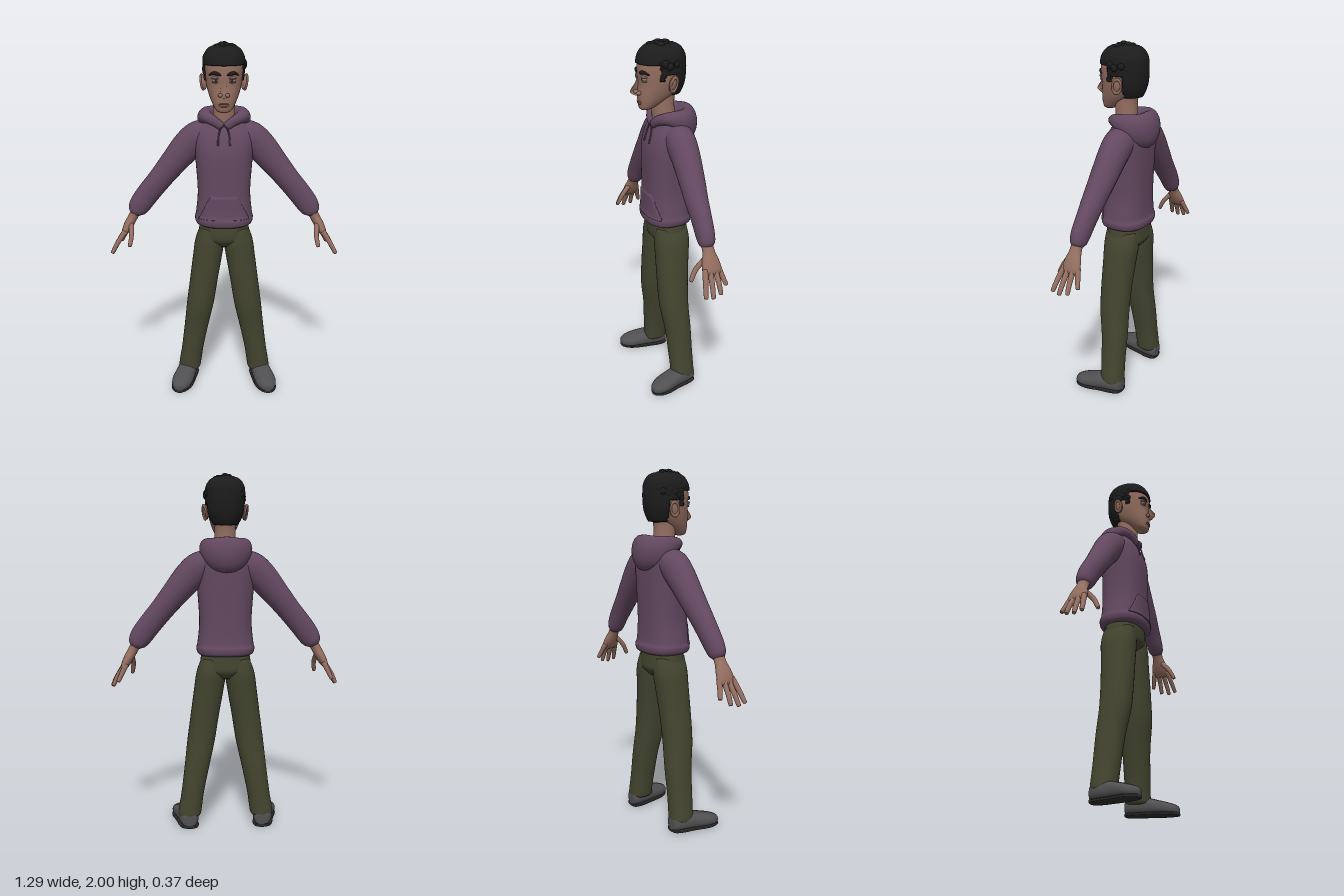
import * as THREE from 'three';
import { mergeGeometries } from 'three/addons/utils/BufferGeometryUtils.js';

const mat = (name, color) => Object.assign(new THREE.MeshStandardMaterial({ color }), { name });
const X = new THREE.Vector3(1, 0, 0), Y = new THREE.Vector3(0, 1, 0), Z = new THREE.Vector3(0, 0, 1);

// Smooth closed skin through rows of [x, y, z, radiusU, radiusV]; a fixed axis keeps all rings parallel
function sweep(rows, { axis = null, ref = Z, n = 28, per = 5, power = 2, move = null } = {}) {
  const P = new THREE.CatmullRomCurve3(rows.map(r => new THREE.Vector3(r[0], r[1], r[2])), false, 'catmullrom');
  const R = new THREE.CatmullRomCurve3(rows.map(r => new THREE.Vector3(r[3], r[4], 0)), false, 'catmullrom');
  const steps = (rows.length - 1) * per, pos = [], idx = [];
  const bend = c => Math.sign(c) * Math.abs(c) ** (2 / power);
  for (let i = 0; i <= steps; i++) {
    const p = P.getPoint(i / steps), r = R.getPoint(i / steps);
    const t = axis || P.getTangent(i / steps);
    const u = new THREE.Vector3().crossVectors(t, ref).normalize();
    const v = new THREE.Vector3().crossVectors(u, t).normalize();
    for (let j = 0; j < n; j++) {
      const a = j / n * Math.PI * 2;
      const q = p.clone().addScaledVector(u, bend(Math.cos(a)) * Math.max(r.x, 0.001))
        .addScaledVector(v, bend(Math.sin(a)) * Math.max(r.y, 0.001));
      if (move) move(q);
      pos.push(q.x, q.y, q.z);
      if (i < steps) {
        const k = (j + 1) % n, A = i * n + j, C = i * n + k;
        idx.push(A, A + n, C, A + n, C + n, C);
      }
    }
  }
  // end caps
  const c0 = pos.length / 3, last = steps * n;
  for (const e of [0, 1]) {
    const p = P.getPoint(e);
    if (move) move(p);
    pos.push(p.x, p.y, p.z);
  }
  for (let j = 0; j < n; j++) {
    const k = (j + 1) % n;
    idx.push(c0, j, k, c0 + 1, last + k, last + j);
  }
  const g = new THREE.BufferGeometry();
  g.setAttribute('position', new THREE.Float32BufferAttribute(pos, 3));
  g.setIndex(idx);
  g.computeVertexNormals();
  return g;
}

function ball(x, y, z, rx, ry, rz, w = 20, h = 14) {
  return new THREE.SphereGeometry(1, w, h).scale(rx, ry, rz).translate(x, y, z);
}

export function createModel() {
  const root = new THREE.Group();
  root.name = 'standingFigure';
  const skin = mat('skin', 0x946e60), hoodie = mat('plum cloth', 0x634860), pants = mat('olive cloth', 0x43452f);
  const hair = mat('black hair', 0x1c1c1c), shoe = mat('grey shoe', 0x505052), sole = mat('dark sole', 0x2b2b2b);
  const lip = mat('lip', 0x7d574c), white = mat('eye white', 0xa5a5a5), iris = mat('iris', 0x2f3438);
  const add = (name, geo, m) => {
    const mesh = new THREE.Mesh(geo, m);
    mesh.name = name;
    root.add(mesh);
    return mesh;
  };

  // Hoodie body
  const torso = [
    [0, 1.0, -.012, .14, .115], [0, 1.012, -.012, .157, .128], [0, 1.04, -.012, .164, .132], [0, 1.075, -.012, .157, .122],
    [0, 1.2, -.012, .147, .12], [0, 1.4, -.015, .16, .121], [0, 1.5, -.025, .165, .11],
    [0, 1.56, -.035, .14, .09], [0, 1.6, -.035, .09, .07]];
  add('hoodieBody', sweep(torso, { axis: Y, n: 48, per: 6, power: 2.5 }), hoodie);

  // Front pocket: a slightly larger shell sunk into the body outside the pocket outline
  const shell = torso.slice(2, 6).map(r => [r[0], r[1], r[2], r[3] + .006, r[4] + .006]);
  add('frontPocket', sweep(shell, {
    axis: Y, n: 120, per: 14, power: 2.5, move: q => {
      const half = THREE.MathUtils.mapLinear(q.y, 1.06, 1.18, .14, .08);
      if (q.z < 0 || q.y < 1.05 || q.y > 1.18 || Math.abs(q.x) > half) { q.x *= .92; q.z *= .92; }
    }
  }), hoodie);

  // Lowered hood around the neck, deepest at the back
  const hoodHalf = [
    [.008, 1.56, .066, .014, .022], [.05, 1.588, .055, .02, .026], [.095, 1.605, .01, .035, .035],
    [.1, 1.587, -.06, .045, .064], [.06, 1.565, -.112, .052, .088]];
  const hoodOther = hoodHalf.map(r => [-r[0], ...r.slice(1)]).reverse();
  add('hood', sweep([...hoodHalf, [0, 1.557, -.131, .054, .097], ...hoodOther], { ref: Y, n: 24, per: 7 }), hoodie);

  // Hips and neck
  add('hips', sweep([[0, 1.04, -.015, .13, .1], [0, .96, -.015, .143, .104], [0, .91, -.018, .138, .1], [0, .87, -.02, .08, .065]],
    { axis: Y.clone().negate(), n: 36, power: 2.3 }), pants);
  add('neck', sweep([[0, 1.52, -.02, .075, .07], [0, 1.6, -.002, .062, .062], [0, 1.7, .002, .058, .062], [0, 1.76, -.01, .06, .07]],
    { axis: Y }), skin);

  // Head
  add('head', sweep([
    [0, 1.645, .105, .02, .02], [0, 1.656, .097, .041, .038], [0, 1.69, .07, .062, .07], [0, 1.73, .04, .079, .1],
    [0, 1.78, .018, .094, .118], [0, 1.83, .017, .1, .122], [0, 1.88, .014, .102, .124], [0, 1.93, .01, .095, .11],
    [0, 1.965, .007, .07, .078], [0, 1.985, .005, .02, .025]], { axis: Y, n: 40, power: 2.25 }), skin);
  add('nose', sweep([
    [0, 1.828, .128, .011, .012], [0, 1.79, .134, .014, .022], [0, 1.756, .141, .019, .039], [0, 1.74, .142, .024, .041],
    [0, 1.727, .138, .018, .026], [0, 1.721, .135, .006, .01]], { axis: Y, n: 20 }), skin);
  for (const [name, y, r] of [['upperLip', 1.692, .0045], ['lowerLip', 1.683, .006]]) {
    add(name, sweep([[-.032, 1.687, .127, .001, .002], [-.017, y, .136, r, .006], [0, y, .1385, r, .007],
      [.017, y, .136, r, .006], [.032, 1.687, .127, .001, .002]], { n: 10 }), lip);
  }

  // Hair cap: sinks inside the head below the hairline
  const hairline = z => z > .06 ? 1.885 : z > .03 ? 1.805 : z > -.03 ? 1.835 : 1.72;
  add('hairCap', sweep([
    [0, 1.705, -.02, .05, .055], [0, 1.73, .008, .08, .103], [0, 1.78, .01, .102, .123], [0, 1.83, .012, .109, .131],
    [0, 1.88, .014, .111, .133], [0, 1.93, .012, .107, .123], [0, 1.97, .01, .078, .09], [0, 1.988, .008, .02, .025]],
  {
    axis: Y, n: 72, per: 8, power: 2.15, move: q => {
      if (q.y < hairline(q.z)) { q.x *= .78; q.z = .015 + (q.z - .015) * .78; }
    }
  }), hair);

  // Curls spread over the crown
  const curls = [], count = 150;
  for (let i = 0; i < count; i++) {
    const dy = 1 - i / count * 1.55, s = Math.sqrt(1 - dy * dy), a = i * 2.39996;
    const x = Math.cos(a) * s * .098, y = 1.87 + dy * .106, z = .014 + Math.sin(a) * s * .113;
    if (y < hairline(z) + .018) continue;
    const r = (dy > .05 ? .022 : .016) + .004 * Math.sin(i * 7.3);
    curls.push(ball(x, y, z, r, r, r, 12, 9));
  }
  add('curls', mergeGeometries(curls), hair);

  for (const s of [1, -1]) {
    const side = s > 0 ? 'left' : 'right';
    const flip = rows => rows.map(r => [r[0] * s, ...r.slice(1)]);

    // Face details
    add(side + 'Eye', ball(s * .041, 1.814, .122, .02, .011, .015), white);
    add(side + 'Iris', ball(s * .041, 1.814, .131, .009, .009, .008), iris);
    add(side + 'UpperLid', ball(s * .041, 1.823, .121, .024, .008, .018), skin);
    add(side + 'LowerLid', ball(s * .041, 1.803, .121, .022, .006, .015), skin);
    add(side + 'Brow', sweep(flip([[.016, 1.839, .134, .004, .005], [.03, 1.844, .137, .009, .007], [.052, 1.849, .13, .009, .007],
      [.076, 1.838, .11, .003, .005]]), { n: 12 }), hair);
    add(side + 'Nostril', ball(s * .019, 1.738, .144, .011, .011, .015), skin);
    const ear = new THREE.Group();
    ear.name = side + 'Ear';
    const lobe = new THREE.Mesh(ball(0, 0, 0, .012, .042, .026), skin);
    const rim = new THREE.Mesh(new THREE.TorusGeometry(.023, .006, 8, 24).rotateY(Math.PI / 2).scale(1, 1.6, 1), skin);
    lobe.name = 'earLobe';
    rim.name = 'earRim';
    rim.position.x = s * .009;
    ear.add(lobe, rim);
    ear.position.set(s * .107, 1.79, -.008);
    ear.rotation.set(-.12, s * .35, -s * .12);
    root.add(ear);

    // Sleeve with cuff, and drawstring
    add(side + 'Sleeve', sweep(flip([
      [.06, 1.53, -.035, .055, .07], [.135, 1.497, -.035, .083, .08], [.2, 1.44, -.035, .085, .076], [.29, 1.335, -.031, .073, .068],
      [.36, 1.25, -.026, .066, .06], [.43, 1.165, -.024, .064, .051], [.472, 1.108, -.022, .061, .047],
      [.496, 1.07, -.021, .05, .042], [.506, 1.05, -.021, .03, .03]]), { n: 32 }), hoodie);
    add(side + 'Drawstring', sweep(flip([[.016, 1.562, .075, .004, .004], [.026, 1.53, .08, .004, .004],
      [.031, 1.5, .087, .004, .004], [.032, 1.465, .098, .005, .005]]), { n: 8 }), hoodie);

    // Hand
    add(side + 'Palm', sweep(flip([[.49, 1.085, -.02, .03, .033], [.518, 1.032, -.02, .027, .032], [.543, .987, -.02, .027, .046],
      [.564, .948, -.02, .022, .053], [.576, .925, -.02, .012, .045]]), { n: 24 }), skin);
    const fingers = {
      Thumb: [[.53, 1.0, .0], [.522, .945, .05], [.53, .89, .079]],
      IndexFinger: [[.562, .955, .018], [.602, .895, .034], [.634, .838, .046]],
      MiddleFinger: [[.564, .95, -.008], [.607, .885, -.001], [.636, .829, .005]],
      RingFinger: [[.562, .95, -.036], [.603, .89, -.039], [.628, .838, -.041]],
      LittleFinger: [[.556, .955, -.058], [.58, .905, -.072], [.598, .866, -.085]]
    };
    for (const [name, [a, b, c]] of Object.entries(fingers)) {
      const tip = c.map((v, i) => v + (c[i] - b[i]) * .12);
      add(side + name, sweep(flip([[...a, .015, .016], [...b, .0135, .0135], [...c, .011, .011], [...tip, .004, .004]]),
        { ref: X, n: 12 }), skin);
    }

    // Trouser leg
    add(side + 'TrouserLeg', sweep(flip([
      [.075, .98, -.015, .06, .09], [.081, .9, -.016, .083, .1], [.095, .8, -.012, .084, .095], [.118, .65, -.006, .081, .089],
      [.14, .5, -.006, .079, .084], [.165, .35, -.02, .071, .076], [.19, .2, -.026, .065, .071], [.204, .11, -.03, .066, .069],
      [.21, .066, -.03, .063, .068], [.212, .055, -.03, .04, .045]]), { axis: Y.clone().negate(), n: 32, power: 2.2 }), pants);

    // Shoe, flattened underneath, on a thin sole
    const foot = flip([
      [.208, .045, -.1, .02, .03], [.21, .05, -.09, .043, .044], [.215, .052, -.05, .056, .048], [.228, .05, .02, .058, .049],
      [.245, .042, .09, .062, .04], [.254, .034, .14, .054, .034], [.26, .03, .173, .034, .025], [.261, .028, .184, .014, .015]]);
    add(side + 'Shoe', sweep(foot, { axis: Z, ref: Y, n: 32, power: 2.3, move: q => { q.y = Math.max(q.y, .012); } }), shoe);
    add(side + 'Sole', sweep(foot.map(r => [r[0], .009, r[2], r[3] * 1.03, .009]), { axis: Z, ref: Y, n: 32, power: 4 }), sole);
  }
  return root;
}
